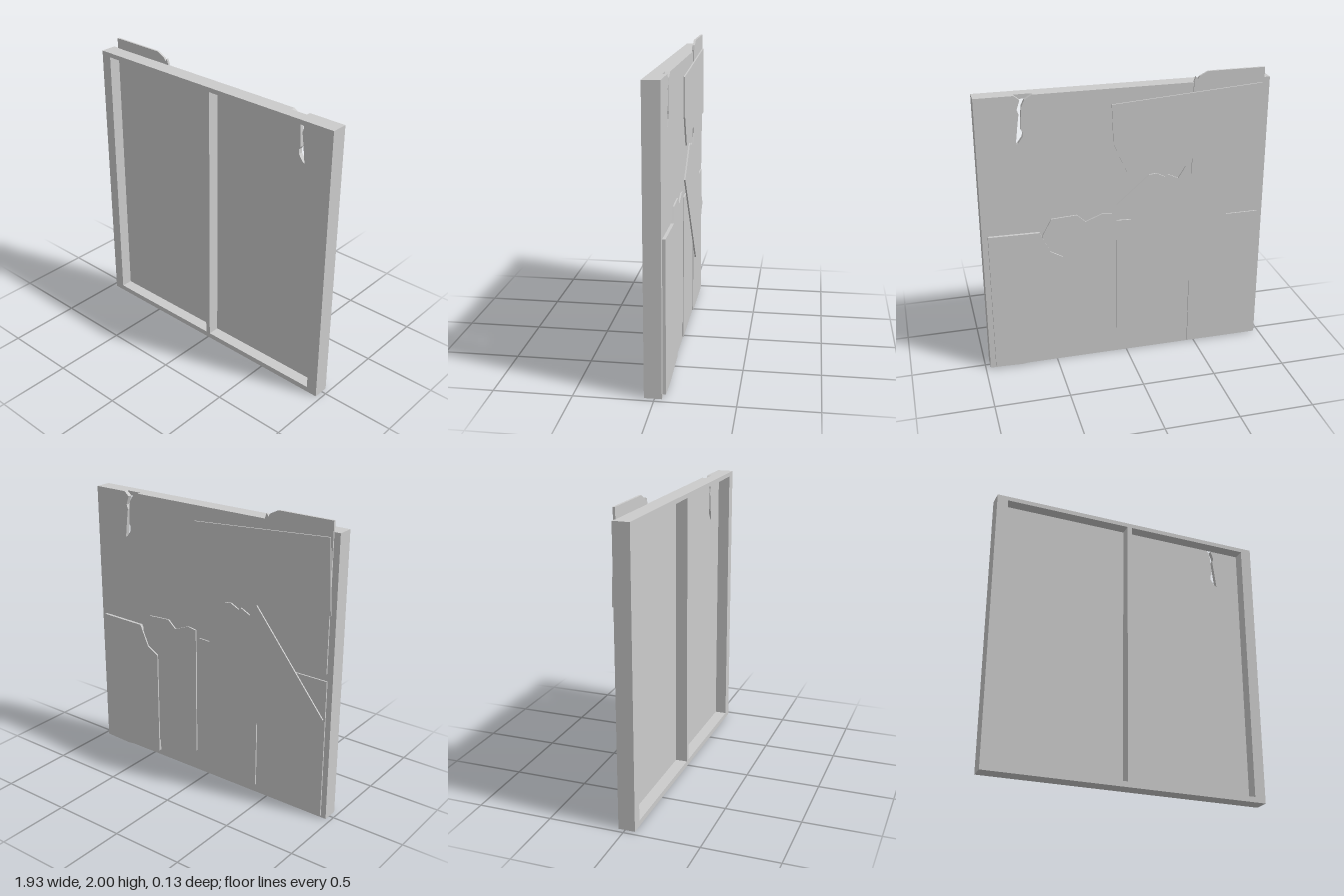
import * as THREE from 'three';

const HALF = 0.967, TOP = 1.93;
const BACK = -0.045, SEAM = -0.015, FRONT = 0.065;

const outline = (pts) => new THREE.Shape(pts.map(([x, y]) => new THREE.Vector2(x, y)));

// Flat board with the given outline (and holes) between two depths
function board(name, pts, z0, z1, holes = []) {
  const shape = outline(pts);
  for (const h of holes) shape.holes.push(outline(h));
  const geo = new THREE.ExtrudeGeometry(shape, { depth: z1 - z0, bevelEnabled: false });
  geo.translate(0, 0, z0);
  const mesh = new THREE.Mesh(geo, new THREE.MeshStandardMaterial({ color: 0xcccccc, flatShading: true }));
  mesh.name = name;
  return mesh;
}

const rect = (x0, y0, x1, y1) => [[x0, y0], [x1, y0], [x1, y1], [x0, y1]];

export function createModel() {
  const wall = new THREE.Group();
  wall.name = 'brokenWallPanel';

  // Front frame with two recessed bays
  wall.add(board('frame', rect(-HALF, 0, HALF, TOP), SEAM, FRONT,
    [rect(-0.893, 0.037, -0.018, 1.9), rect(0.016, 0.037, 0.891, 1.9)]));

  // Back sheet, cracked open from the top edge
  const crack = [
    [0.715, TOP], [0.68, 1.9], [0.7, 1.84], [0.69, 1.81], [0.7, 1.74], [0.716, 1.61],
    [0.7, 1.62], [0.672, 1.66], [0.669, 1.69], [0.681, 1.71], [0.676, 1.8],
    [0.67, 1.86], [0.65, 1.9], [0.6, TOP],
  ];
  wall.add(board('backSheet', [[-HALF, 0], [HALF, 0], [HALF, TOP], ...crack, [-HALF, TOP]], BACK, SEAM));

  // Broken planks on the back: lower layer, then those lapped over it
  const under = -0.055, over = -0.065;
  const planks = [
    ['upperPlank', [[-0.925, 1.03], [-0.45, 1.03], [-0.445, 1.94], [-0.455, 1.97], [-0.468, 1.95],
      [-0.48, 1.97], [-0.54, 2], [-0.925, 2]], under, BACK + 0.005],
    ['lowerPlank', rect(-0.93, 0.01, -0.45, 0.98), under, BACK],
    ['middlePlank', [[0.07, 0.02], [0.07, 1.02], [-0.41, 1], [-0.41, 0.06], [-0.19, 0.03]], under, BACK],
    ['innerPlank', [[0.1, 0.15], [0.1, 1.07], [0.17, 1.08], [0.28, 1.035], [0.34, 1.09], [0.51, 1.08],
      [0.57, 0.97], [0.57, 0.1], [0.45, 0.125], [0.35, 0.15]], under, BACK],
    ['outerPlank', [[0.93, 0.015], [0.93, 1], [0.59, 0.995], [0.525, 0.85], [0.44, 0.8],
      [0.44, 0.04], [0.55, 0.03], [0.75, 0.008]], over, BACK],
    ['crossPlank', [[0.1, 1.83], [-0.91, 1.9], [-0.94, 1.42], [-0.19, 1.415], [-0.09, 1.36],
      [0, 1.36], [0.09, 1.565]], over, under],
    ['slantedPlank', [[0.07, 1.14], [-0.15, 1.33], [-0.2, 1.335], [-0.26, 1.305], [-0.28, 1.32],
      [-0.35, 1.285], [-0.4, 1.365], [-0.92, 0.715], [-0.53, 0.4]], over, under],
  ];
  for (const [name, pts, z0, z1] of planks) wall.add(board(name, pts, z0, z1));

  return wall;
}
